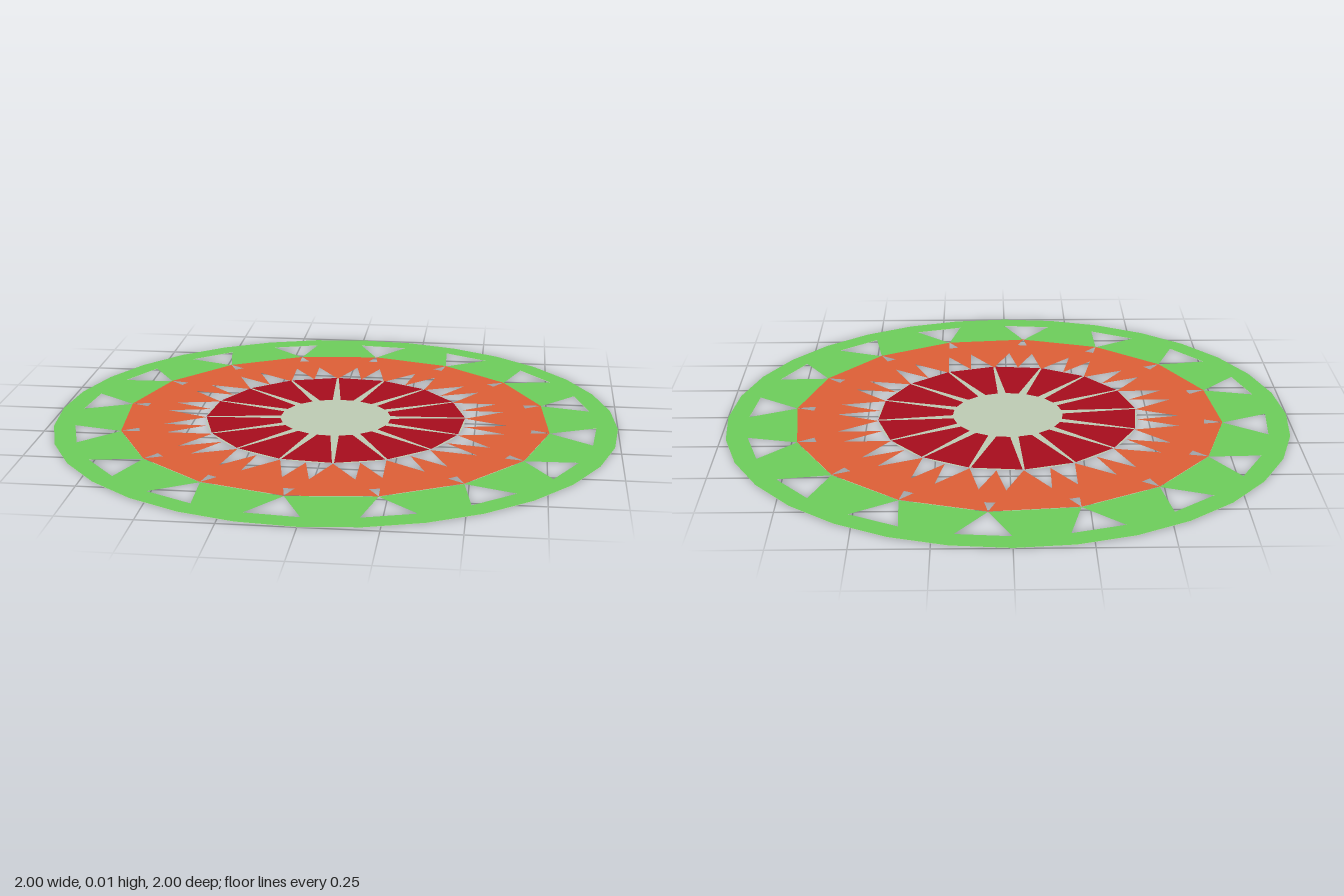
import * as THREE from 'three';
import { mergeGeometries } from 'three/addons/utils/BufferGeometryUtils.js';

const SECTORS = 16;
const STEP = 360 / SECTORS;
const START = 16.875;            // angle of the first sector's middle, clockwise from the back
const HALF = STEP / 2;
const MID = Math.cos(THREE.MathUtils.degToRad(STEP / 4)); // mid-edge factor of a 32-sided rim

// Point from [angle offset in degrees, radius], turned about the given middle angle
function polar([offset, r], middle) {
  const a = THREE.MathUtils.degToRad(middle + offset);
  return new THREE.Vector2(r * Math.sin(a), r * Math.cos(a));
}

// Mirrors half an outline (outside to inside) and repeats it around the centre
function rosette(name, color, y, half) {
  const mirrored = half.map(([a, r]) => [-a, r]).reverse();
  const outline = [...half, ...mirrored.filter(([a]) => a !== 0)];
  const sectors = [];
  for (let i = 0; i < SECTORS; i++) {
    const points = outline.map((p) => polar(p, START + i * STEP));
    sectors.push(new THREE.ShapeGeometry(new THREE.Shape(points)));
  }
  return flat(name, color, y, mergeGeometries(sectors));
}

// Lays a flat sheet level at height y
function flat(name, color, y, geometry) {
  geometry.rotateX(-Math.PI / 2);
  const material = new THREE.MeshStandardMaterial({ color, side: THREE.DoubleSide });
  const mesh = new THREE.Mesh(geometry, material);
  mesh.name = name;
  mesh.position.y = y;
  return mesh;
}

export function createModel() {
  const group = new THREE.Group();
  group.name = 'layeredRosette';

  const sage = 0xbccab3;
  const rim = [[5.625, 1], [HALF, MID], [HALF, 0.925 * MID], [5.625, 0.925]];

  // Backing ring with narrow inward teeth
  group.add(rosette('backingRing', sage, 0, [...rim, [8.5, 0.70]]));

  // Outer ring whose webs leave triangular openings
  group.add(rosette('outerRing', 0x6ccc5a, 0.0015, [...rim, [HALF, 0.764]]));

  // Middle ring with small notches outside and paired spikes inside
  group.add(rosette('middleRing', 0xdd5f36, 0.003, [
    [HALF, 0.764], [9.75, 0.70], [HALF, 0.70],
    [HALF, 0.463], [7.05, 0.612], [0, 0.463],
  ]));

  // Centre disc
  group.add(flat('centreDisc', sage, 0.0045, new THREE.CircleGeometry(0.463, 32)));

  // Petals, each centred on an opening between two teeth
  const petals = rosette('petals', 0xa60d1c, 0.006, [[10.8, 0.463], [7, 0.197]]);
  petals.rotation.y = -THREE.MathUtils.degToRad(HALF);
  group.add(petals);

  return group;
}
